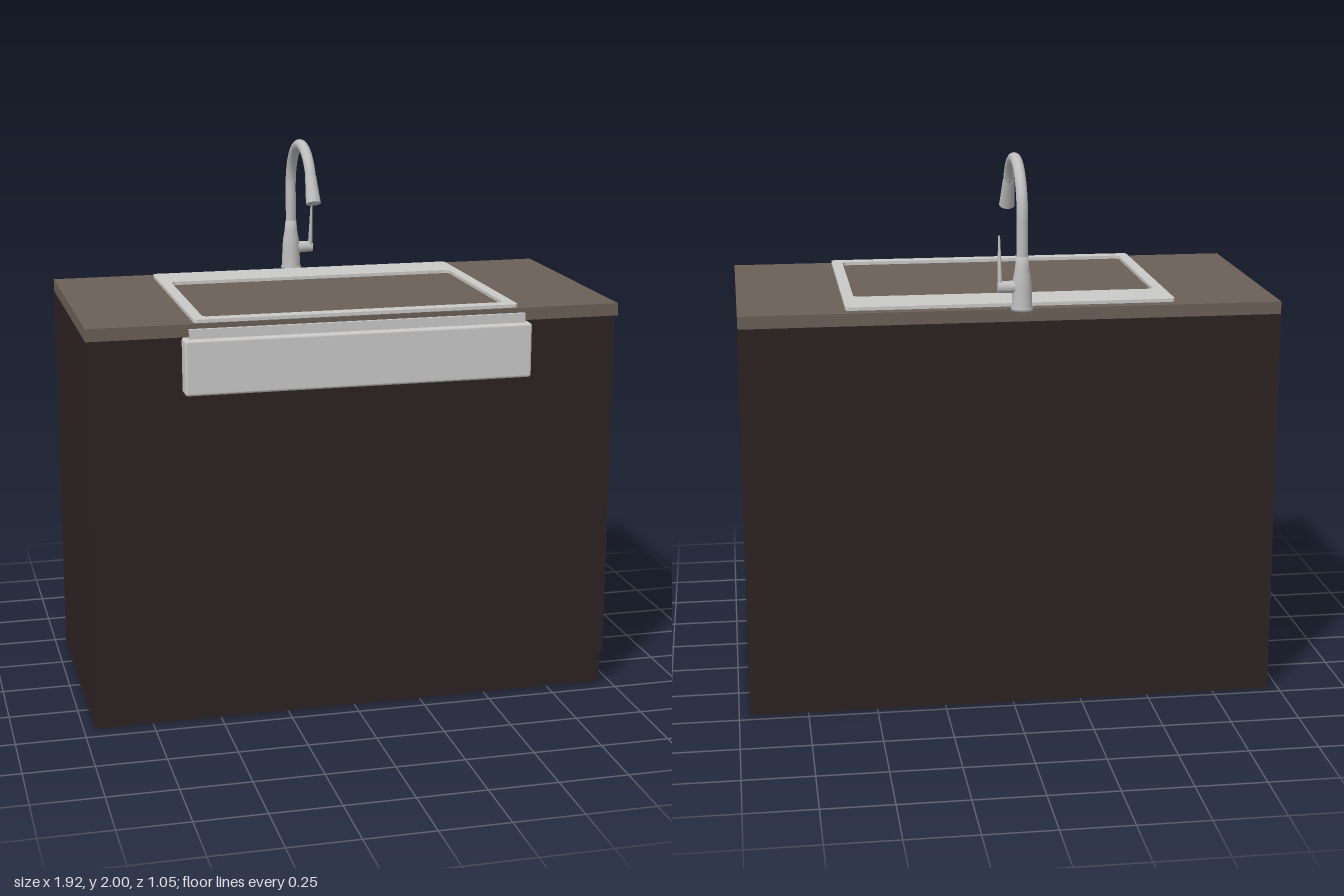
import * as THREE from 'three';
import { RoundedBoxGeometry } from 'three/addons/geometries/RoundedBoxGeometry.js';

const material = (name, color) => {
  const m = new THREE.MeshStandardMaterial({ color });
  m.name = name;
  return m;
};

// Adds a rounded rectangle outline to a shape or path
function roundedRect(path, x0, y0, x1, y1, r) {
  path.moveTo(x0 + r, y0);
  path.lineTo(x1 - r, y0).absarc(x1 - r, y0 + r, r, -Math.PI / 2, 0, false);
  path.lineTo(x1, y1 - r).absarc(x1 - r, y1 - r, r, 0, Math.PI / 2, false);
  path.lineTo(x0 + r, y1).absarc(x0 + r, y1 - r, r, Math.PI / 2, Math.PI, false);
  path.lineTo(x0, y0 + r).absarc(x0 + r, y0 + r, r, Math.PI, Math.PI * 1.5, false);
  return path;
}

export function createModel() {
  const model = new THREE.Group();
  const wood = material('dark wood', 0x2d2322);
  const stone = material('brown stone', 0x6a6056);
  const enamel = material('sink enamel', 0xcac9c8);
  const metal = material('brushed metal', 0xbdbdbd);

  const add = (name, geometry, mat, x = 0, y = 0, z = 0, parent = model) => {
    const mesh = new THREE.Mesh(geometry, mat);
    mesh.name = name;
    mesh.position.set(x, y, z);
    parent.add(mesh);
    return mesh;
  };

  // Cabinet with recessed toe kick, then the countertop
  add('cabinet', new THREE.BoxGeometry(1.92, 1.3, 0.925), wood, 0, 0.78, -0.0025);
  add('toeKick', new THREE.BoxGeometry(1.92, 0.13, 0.895), wood, 0, 0.065, -0.0175);
  add('countertop', new THREE.BoxGeometry(1.92, 0.045, 0.955), stone, 0, 1.4525, 0.0125);

  // Sink rim: a flat frame with a wide ledge at the back
  const rim = roundedRect(new THREE.Shape(), -0.585, -0.48, 0.585, 0.42, 0.015);
  rim.holes.push(roundedRect(new THREE.Path(), -0.545, -0.43, 0.545, 0.235, 0.02));
  const rimGeometry = new THREE.ExtrudeGeometry(rim, { depth: 0.012, bevelEnabled: false, curveSegments: 6 });
  rimGeometry.rotateX(-Math.PI / 2);
  add('sinkRim', rimGeometry, enamel, 0, 1.475, 0);

  // Apron front and the narrow lip above it
  add('sinkApron', new RoundedBoxGeometry(1.25, 0.197, 0.08, 3, 0.01), enamel, 0, 1.326, 0.484);
  add('apronLip', new THREE.BoxGeometry(1.21, 0.036, 0.045), enamel, 0, 1.44, 0.48);

  // Faucet, standing at the back edge
  const faucet = new THREE.Group();
  faucet.name = 'faucet';
  faucet.position.set(-0.025, 1.475, -0.485);
  model.add(faucet);

  const profile = [[0, 0], [0.039, 0], [0.039, 0.01], [0.035, 0.016], [0.034, 0.08],
    [0.031, 0.115], [0.025, 0.15], [0.021, 0.19], [0, 0.19]];
  add('faucetBody', new THREE.LatheGeometry(profile.map(p => new THREE.Vector2(...p)), 28), metal, 0, 0, 0, faucet);

  // Gooseneck: straight riser followed by an arc
  const R = 0.178, riser = 0.327, end = THREE.MathUtils.degToRad(25);
  const neck = [0.12, 0.18, 0.24, 0.29].map(y => new THREE.Vector3(0, y, 0));
  for (let i = 0; i <= 18; i++) {
    const a = Math.PI + (end - Math.PI) * i / 18;
    neck.push(new THREE.Vector3(0, riser + R * Math.sin(a), R + R * Math.cos(a)));
  }
  add('gooseneck', new THREE.TubeGeometry(new THREE.CatmullRomCurve3(neck), 64, 0.02, 16), metal, 0, 0, 0, faucet);

  // Spray head continues along the end of the arc
  const tip = neck[neck.length - 1];
  const head = add('sprayHead', new THREE.CylinderGeometry(0.021, 0.028, 0.105, 24), metal,
    0, tip.y - 0.05 * Math.cos(end), tip.z + 0.05 * Math.sin(end), faucet);
  head.rotation.x = -end;

  // Side handle: hub and tapered lever
  const hub = add('handleHub', new THREE.CylinderGeometry(0.02, 0.023, 0.07, 20), metal, 0.05, 0.083, 0, faucet);
  hub.rotation.z = -Math.PI / 2;
  const lever = new THREE.CylinderGeometry(0.007, 0.016, 0.185, 16);
  lever.scale(0.55, 1, 1);
  const handle = add('handleLever', lever, metal, 0.077, 0.167, 0.015, faucet);
  handle.rotation.x = 0.16;

  return model;
}
